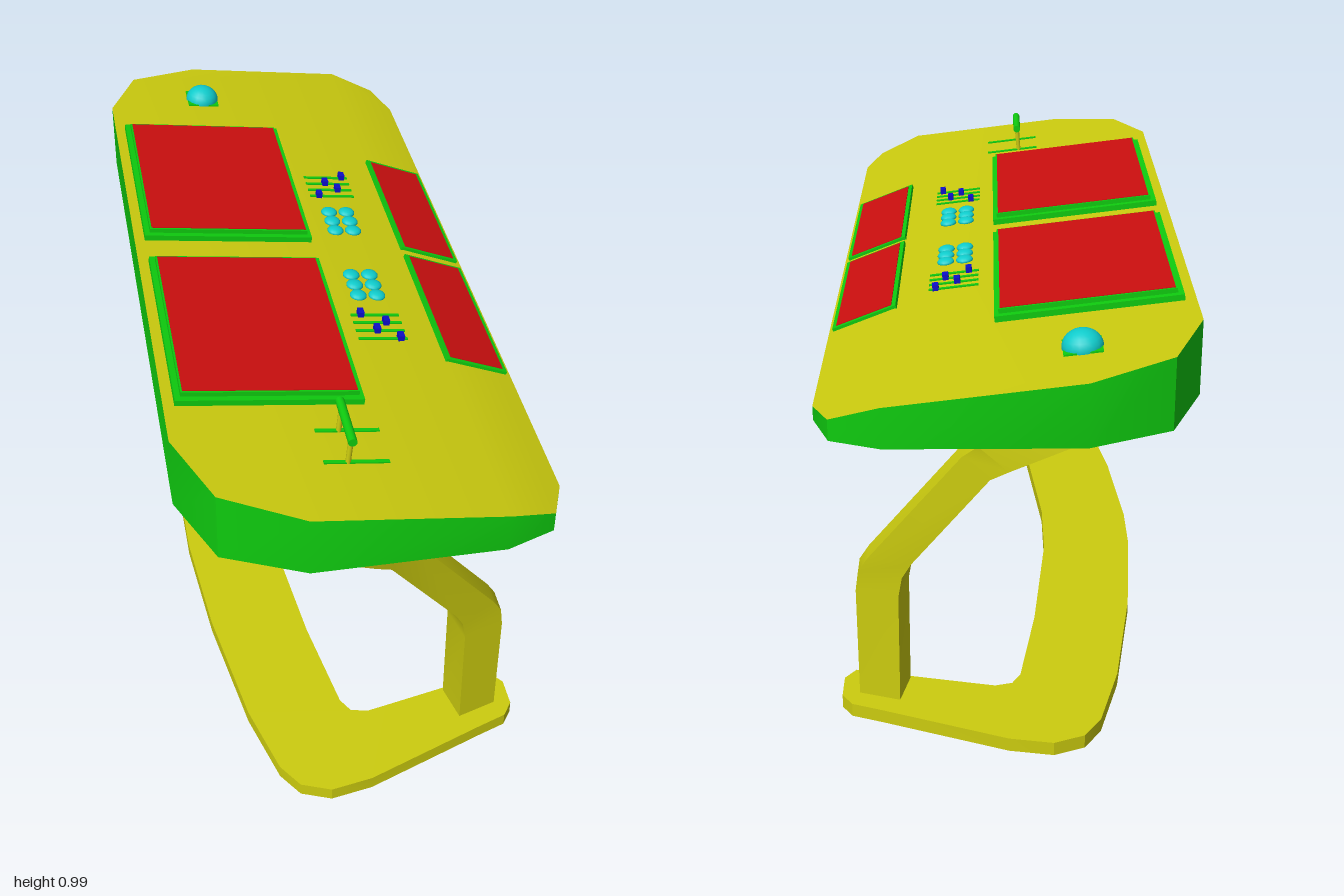
import * as THREE from 'three';
import { mergeGeometries, toCreasedNormals } from 'three/addons/utils/BufferGeometryUtils.js';

const paint = (color) => new THREE.MeshStandardMaterial({ color });
const YELLOW = paint(0xcccc0f), GREEN = paint(0x0fcc0f), RED = paint(0xcc0f0f);
const CYAN = paint(0x0fcccc), BLUE = paint(0x0f0fcc);

// Desk surface: a gentle slope, then a steeper front lip
const CREASE = 0.26, SLOPE = 0.123, LIP = 0.4, UNDER = 0.78;
const CREASE_Y = 0.955 - SLOPE * (CREASE + 0.415);
const deskY = (x) => CREASE_Y - (x - CREASE) * (x < CREASE ? SLOPE : LIP);

function addMesh(parent, name, geometry, material) {
  const mesh = new THREE.Mesh(geometry, material);
  mesh.name = name;
  parent.add(mesh);
  return mesh;
}

// Lays an object on the desk surface, h above it, tilted with the slope
function lay(mesh, x, z, h = 0) {
  const a = Math.atan(x < CREASE ? SLOPE : LIP);
  mesh.position.set(x + h * Math.sin(a), deskY(x) + h * Math.cos(a), z);
  mesh.rotation.z = -a;
  return mesh;
}

// Slab between two x and two z limits, resting on the desk
function slab(parent, name, material, [x0, x1], [z0, z1], bottom, top) {
  const x = (x0 + x1) / 2, slope = x < CREASE ? SLOPE : LIP;
  const geo = new THREE.BoxGeometry((x1 - x0) * Math.hypot(1, slope), top - bottom, z1 - z0);
  return lay(addMesh(parent, name, geo, material), x, (z0 + z1) / 2, (top + bottom) / 2);
}

// Side surface through rings of [x, y, z], each counterclockwise from above
function loft(rings) {
  const pos = [];
  for (let i = 0; i < rings.length - 1; i++) {
    const n = rings[i].length;
    for (let j = 0; j < n; j++) {
      const k = (j + 1) % n;
      const a = rings[i][j], b = rings[i][k], c = rings[i + 1][k], d = rings[i + 1][j];
      pos.push(...a, ...b, ...c, ...a, ...c, ...d);
    }
  }
  const geo = new THREE.BufferGeometry();
  geo.setAttribute('position', new THREE.Float32BufferAttribute(pos, 3));
  return toCreasedNormals(geo, 0.45);
}

const shapeOf = (pts) => new THREE.Shape(pts.map(([x, z]) => new THREE.Vector2(x, -z)));
const mirrorZ = (half) => [...half, ...half.map(([x, z]) => [x, -z]).reverse()];

function buildDesk(group) {
  const front = [[0.41, -0.86], [0.37, -0.96], [CREASE, -1]];
  const rear = [[CREASE, -1], [-0.16, -1], [-0.34, -0.92], [-0.415, -0.74]];
  const half = [...front, ...rear.slice(1)];
  const outline = mirrorZ(half);

  addMesh(group, 'deskSide', loft([
    outline.map(([x, z]) => [x, UNDER, z]),
    outline.map(([x, z]) => [x, deskY(x), z]),
  ]), GREEN);

  const panels = [front, rear].map((part) => {
    const geo = new THREE.ShapeGeometry(shapeOf(mirrorZ(part))).rotateX(-Math.PI / 2);
    const p = geo.attributes.position;
    for (let i = 0; i < p.count; i++) p.setY(i, deskY(p.getX(i)));
    return geo;
  });
  addMesh(group, 'deskTop', toCreasedNormals(mergeGeometries(panels), 0.45), YELLOW);

  const under = new THREE.ShapeGeometry(shapeOf(outline)).rotateX(-Math.PI / 2);
  under.rotateX(Math.PI);
  addMesh(group, 'deskUnderside', under, YELLOW).position.y = UNDER;
}

function buildBase(group) {
  // Half of the curved floor plate: back edge, corner, foot, then inner edge
  const half = [
    [-0.335, 0.08], [-0.31, 0.38], [-0.26, 0.7], [-0.21, 0.88], [-0.17, 0.94], [-0.1, 0.967],
    [0, 0.95], [0.29, 0.84], [0.36, 0.815], [0.385, 0.78], [0.385, 0.71], [0.36, 0.677],
    [0.08, 0.735], [0.03, 0.745], [-0.01, 0.735], [-0.03, 0.7], [-0.07, 0.45], [-0.105, 0.1],
  ];
  const geo = new THREE.ExtrudeGeometry(shapeOf(mirrorZ(half)), { depth: 0.033, bevelEnabled: false });
  geo.rotateX(-Math.PI / 2);
  addMesh(group, 'basePlate', toCreasedNormals(geo, 0.45), YELLOW);

  // Bent legs: front x, front y, back x, back y, outward shift
  const stations = [
    [0.345, 0.03, 0.25, 0.03, 0], [0.345, 0.31, 0.247, 0.31, 0], [0.338, 0.36, 0.238, 0.36, 0.003],
    [0.315, 0.4, 0.217, 0.4, 0.013], [0.1, 0.69, 0.04, 0.65, 0.088], [0.065, 0.725, 0, 0.68, 0.11],
    [-0.03, 0.79, -0.185, 0.785, 0.16],
  ];
  for (const side of [1, -1]) {
    const rings = stations.map(([fx, fy, bx, by, s]) => {
      const ring = [
        [fx, fy, side * (0.77 + s)], [fx, fy, side * (0.71 + s)],
        [bx - 0.02, by, side * (0.71 + s)], [bx, by, side * (0.8 + s)],
      ];
      return side > 0 ? ring : ring.reverse();
    });
    addMesh(group, side > 0 ? 'leftLeg' : 'rightLeg', loft(rings), YELLOW);
  }
}

function buildControls(group) {
  const knobX = [0.088, 0.143, 0.115, 0.165];
  for (const side of [1, -1]) {
    const span = (a, b) => (side > 0 ? [a, b] : [-b, -a]);

    // Large stepped screen
    slab(group, 'screenFrame', GREEN, [-0.39, 0.028], span(0.048, 0.62), -0.005, 0.014);
    slab(group, 'screenBody', GREEN, [-0.377, 0.018], span(0.062, 0.605), 0.01, 0.025);
    slab(group, 'screen', RED, [-0.373, 0.014], span(0.067, 0.6), 0.02, 0.0265);

    // Small screen on the front lip
    slab(group, 'lipScreenFrame', GREEN, [0.253, 0.4], span(0.016, 0.463), -0.004, 0.007).name = 'lipScreenFrame';
    slab(group, 'lipScreen', RED, [0.263, 0.391], span(0.024, 0.453), 0, 0.0085);

    // Round buttons, two by three
    for (const x of [0.1, 0.146]) {
      for (const z of [0.103, 0.148, 0.193]) {
        const button = addMesh(group, 'button', new THREE.SphereGeometry(0.021, 14, 10), CYAN);
        button.scale.y = 0.5;
        lay(button, x, side * z, 0.002);
      }
    }

    // Sliders with knobs
    knobX.forEach((x, i) => {
      const z = 0.276 + i * 0.032;
      slab(group, 'sliderTrack', GREEN, [0.065, 0.182], span(z - 0.004, z + 0.004), -0.002, 0.003);
      slab(group, 'sliderKnob', BLUE, [x - 0.007, x + 0.007], span(z - 0.011, z + 0.011), 0.001, 0.015);
    });
  }

  // Trackball on a thin square plate
  slab(group, 'trackballPlate', GREEN, [-0.197, -0.113], [-0.852, -0.768], -0.002, 0.004);
  const ball = addMesh(group, 'trackball', new THREE.SphereGeometry(0.045, 18, 12), CYAN);
  ball.scale.y = 0.85;
  lay(ball, -0.155, -0.81, 0.002);

  // Lever: two slots, two posts and a cross handle
  for (const z of [0.712, 0.818]) {
    slab(group, 'leverSlot', GREEN, [-0.1, 0.042], [z - 0.005, z + 0.005], -0.002, 0.003);
    const post = addMesh(group, 'leverPost', new THREE.CylinderGeometry(0.006, 0.006, 0.075, 10), YELLOW);
    post.position.set(-0.045, 0.94, z);
    post.rotation.z = -0.09;
  }
  const handle = addMesh(group, 'leverHandle', new THREE.CylinderGeometry(0.01, 0.01, 0.145, 14), GREEN);
  handle.rotation.x = Math.PI / 2;
  handle.position.set(-0.042, 0.977, 0.764);
}

export function createModel() {
  const group = new THREE.Group();
  group.name = 'controlDesk';
  buildDesk(group);
  buildBase(group);
  buildControls(group);
  return group;
}
